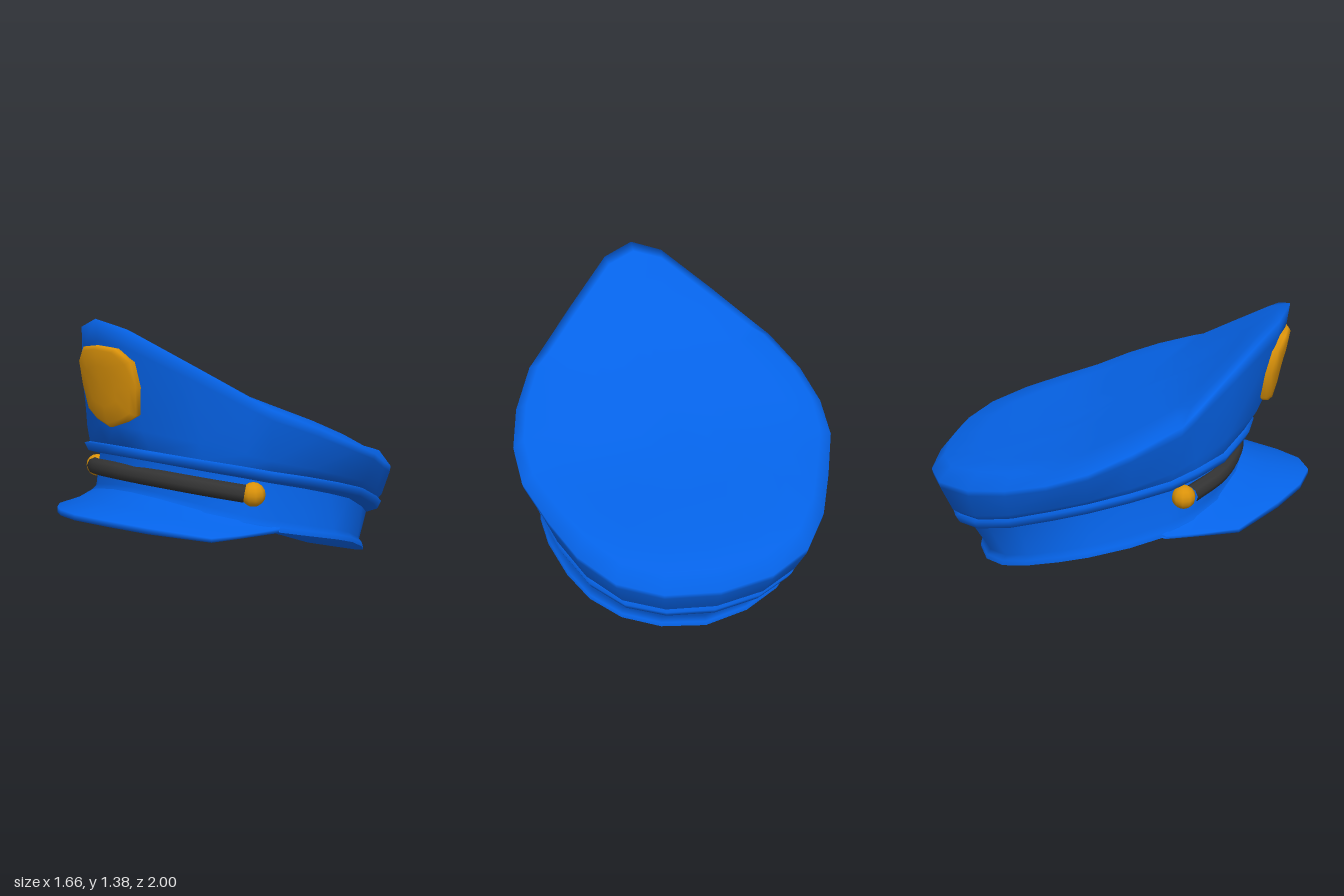
import * as THREE from 'three';

const material = (name, color, side = THREE.FrontSide) => {
  const m = new THREE.MeshStandardMaterial({ color, side });
  m.name = name;
  return m;
};

// Mirror half a section (centre line first) across x = 0
const mirror = (half) => [
  ...half.filter((p) => p[0] > 0).reverse().map(([x, y, z]) => [-x, y, z]),
  ...half,
];

// Skin a list of half sections; closed rings may end in a centre point
function loft(halves, { closed = true, cap = null } = {}) {
  const rows = halves.map(mirror);
  const n = rows[0].length;
  const index = [];
  const points = rows.flat();
  const steps = closed ? n : n - 1;
  for (let i = 0; i < rows.length - 1; i++) {
    for (let j = 0; j < steps; j++) {
      const a = i * n + j, b = i * n + (j + 1) % n;
      index.push(a, b, b + n, a, b + n, a + n);
    }
  }
  if (cap) {
    const last = (rows.length - 1) * n;
    for (let j = 0; j < n; j++) index.push(last + j, last + (j + 1) % n, points.length);
    points.push(cap);
  }
  const g = new THREE.BufferGeometry();
  g.setAttribute('position', new THREE.Float32BufferAttribute(points.flat(), 3));
  g.setIndex(index);
  g.computeVertexNormals();
  return g;
}

// Section helpers: resize in plan and lift, or blend two sections
const fit = (half, s, dy = 0, zc = -0.1) =>
  half.map(([x, y, z]) => [x * s, y + dy, zc + (z - zc) * s]);
const blend = (a, b, plan, height) => a.map((p, i) => [
  p[0] + (b[i][0] - p[0]) * plan,
  p[1] + (b[i][1] - p[1]) * height,
  p[2] + (b[i][2] - p[2]) * plan,
]);

// Half outlines, front to back
const RIM = [
  [0, 1.385, 0.85], [0.16, 1.34, 0.8], [0.4, 1.17, 0.6], [0.6, 1.02, 0.43], [0.67, 0.97, 0.37],
  [0.78, 0.87, 0.15], [0.83, 0.78, -0.05], [0.82, 0.705, -0.25], [0.73, 0.62, -0.47],
  [0.63, 0.56, -0.68], [0.48, 0.525, -0.87], [0.27, 0.495, -0.97], [0, 0.48, -1],
];
const TRIM = [
  [0, 0.755, 0.7], [0.16, 0.75, 0.68], [0.42, 0.725, 0.58], [0.56, 0.695, 0.45], [0.65, 0.665, 0.33],
  [0.72, 0.62, 0.13], [0.755, 0.57, -0.07], [0.755, 0.52, -0.25], [0.69, 0.435, -0.47],
  [0.58, 0.36, -0.67], [0.43, 0.31, -0.81], [0.24, 0.285, -0.89], [0, 0.275, -0.92],
];
const BASE = [
  [0, 0.5, 0.64], [0.16, 0.49, 0.62], [0.4, 0.45, 0.54], [0.55, 0.41, 0.43], [0.63, 0.38, 0.32],
  [0.7, 0.335, 0.13], [0.73, 0.285, -0.07], [0.715, 0.24, -0.22], [0.65, 0.17, -0.4],
  [0.56, 0.11, -0.54], [0.42, 0.06, -0.66], [0.23, 0.025, -0.74], [0, 0.003, -0.77],
];

// Height of the sloping crown top along z
const SLOPE = [[-0.91, 0.57], [-0.7, 0.63], [-0.22, 0.745], [0.38, 1.01], [0.78, 1.35]];
function topY(z) {
  let i = 0;
  while (i < SLOPE.length - 2 && z > SLOPE[i + 1][0]) i++;
  const [[z0, y0], [z1, y1]] = [SLOPE[i], SLOPE[i + 1]];
  return y0 + (y1 - y0) * (z - z0) / (z1 - z0);
}

export function createModel() {
  const blue = material('blue cloth', 0x0562e6, THREE.DoubleSide);
  const gold = material('gold metal', 0xda920a);
  const black = material('black strap', 0x333333);

  const cap = new THREE.Group();
  cap.name = 'peakedCap';
  const add = (name, geometry, mat) => {
    const mesh = new THREE.Mesh(geometry, mat);
    mesh.name = name;
    cap.add(mesh);
    return mesh;
  };

  // Crown: flared wall rolling over the rim into the sloping top
  const crownBase = fit(TRIM, 0.965, 0.005);
  const topRing = (s) => fit(RIM, s, 0, 0).map(([x, , z]) => [x, topY(z), z]);
  add('crown', loft([
    crownBase,
    blend(RIM, crownBase, 0.6, 0.82),
    blend(RIM, crownBase, 0.06, 0.16),
    RIM,
    ...[0.93, 0.75, 0.5, 0.25].map(topRing),
  ], { cap: [0, topY(0), 0] }), blue);

  // Raised piping between crown and band
  const recess = fit(TRIM, 0.9, -0.06);
  add('piping', loft([recess, fit(TRIM, 0.975, -0.042), TRIM, crownBase]), blue);

  // Recessed band with a flared lower lip
  add('band', loft([
    BASE, fit(BASE, 0.995, 0.025), fit(BASE, 0.965, 0.05), recess,
  ]), blue);

  // Inner lining: turned-in lip, steep wall and rounded ceiling
  const domeTop = [0, 0.52, -0.1];
  const dome = BASE.map(() => domeTop);
  add('lining', loft([
    BASE, blend(BASE, dome, 0.06, 0.07), blend(BASE, dome, 0.14, 0.25),
    blend(BASE, dome, 0.3, 0.7), blend(BASE, dome, 0.6, 0.95),
  ], { cap: domeTop }), blue);

  // Visor: nearly flat upper face, thin edge, underside sloping back to the opening
  const visorEdge = [
    [0, 0.48, 1], [0.16, 0.47, 0.955], [0.33, 0.44, 0.84],
    [0.55, 0.395, 0.65], [0.6, 0.39, 0.5], [0.66, 0.39, 0.3],
  ];
  const visorRoot = [
    [0, 0.53, 0.64], [0.16, 0.52, 0.62], [0.38, 0.48, 0.54],
    [0.53, 0.44, 0.44], [0.6, 0.41, 0.35], [0.65, 0.395, 0.28],
  ];
  const visorInner = [
    [0, 0.375, 0.52], [0.16, 0.375, 0.52], [0.35, 0.375, 0.49],
    [0.5, 0.375, 0.42], [0.58, 0.375, 0.35], [0.65, 0.375, 0.28],
  ];
  const visorLow = visorEdge.map(([x, y, z]) => [x, Math.max(y - 0.028, 0.375), z]);
  add('visor', loft([
    blend(visorInner, visorInner.map(() => domeTop), 0.2, 0.85),
    visorInner,
    blend(visorLow, visorInner, 0.45, 0.65),
    visorLow,
    visorEdge,
    blend(visorEdge, visorRoot, 0.6, 0.35),
    visorRoot,
  ], { closed: false }), blue);

  // Chin strap wrapped round the front of the band
  const strapPath = new THREE.CatmullRomCurve3([
    [-0.54, 0.565, 0.41], [-0.38, 0.595, 0.53], [-0.18, 0.612, 0.595], [0, 0.615, 0.61],
    [0.18, 0.612, 0.595], [0.38, 0.595, 0.53], [0.54, 0.565, 0.41],
  ].map((p) => new THREE.Vector3(...p)));
  add('chinStrap', new THREE.TubeGeometry(strapPath, 20, 0.044, 8), black);

  // Strap buttons
  for (const side of [1, -1]) {
    const button = add(side > 0 ? 'leftButton' : 'rightButton',
      new THREE.SphereGeometry(0.059, 10, 8), gold);
    button.position.set(side * 0.563, 0.56, 0.376);
  }

  // Shield badge, bent to follow the front of the crown
  const shield = [
    [0, 0.867], [0.1, 0.9], [0.163, 0.935], [0.185, 1.07],
    [0.178, 1.19], [0.11, 1.25], [0, 1.262],
  ];
  const badgeZ = (x, y) => 0.748 + (y - 0.87) * 0.2 - x * x * 1.1;
  const badgeRing = (s, dz) => shield.map(([x, y]) => {
    const px = x * s, py = 1.07 + (y - 1.07) * s;
    return [px, py, badgeZ(px, py) + dz];
  });
  add('badge', loft([
    badgeRing(0.96, -0.04), badgeRing(1, 0), badgeRing(1, 0.022),
    badgeRing(0.9, 0.038), badgeRing(0.5, 0.04),
  ], { cap: [0, 1.07, badgeZ(0, 1.07) + 0.04] }), gold);

  return cap;
}
